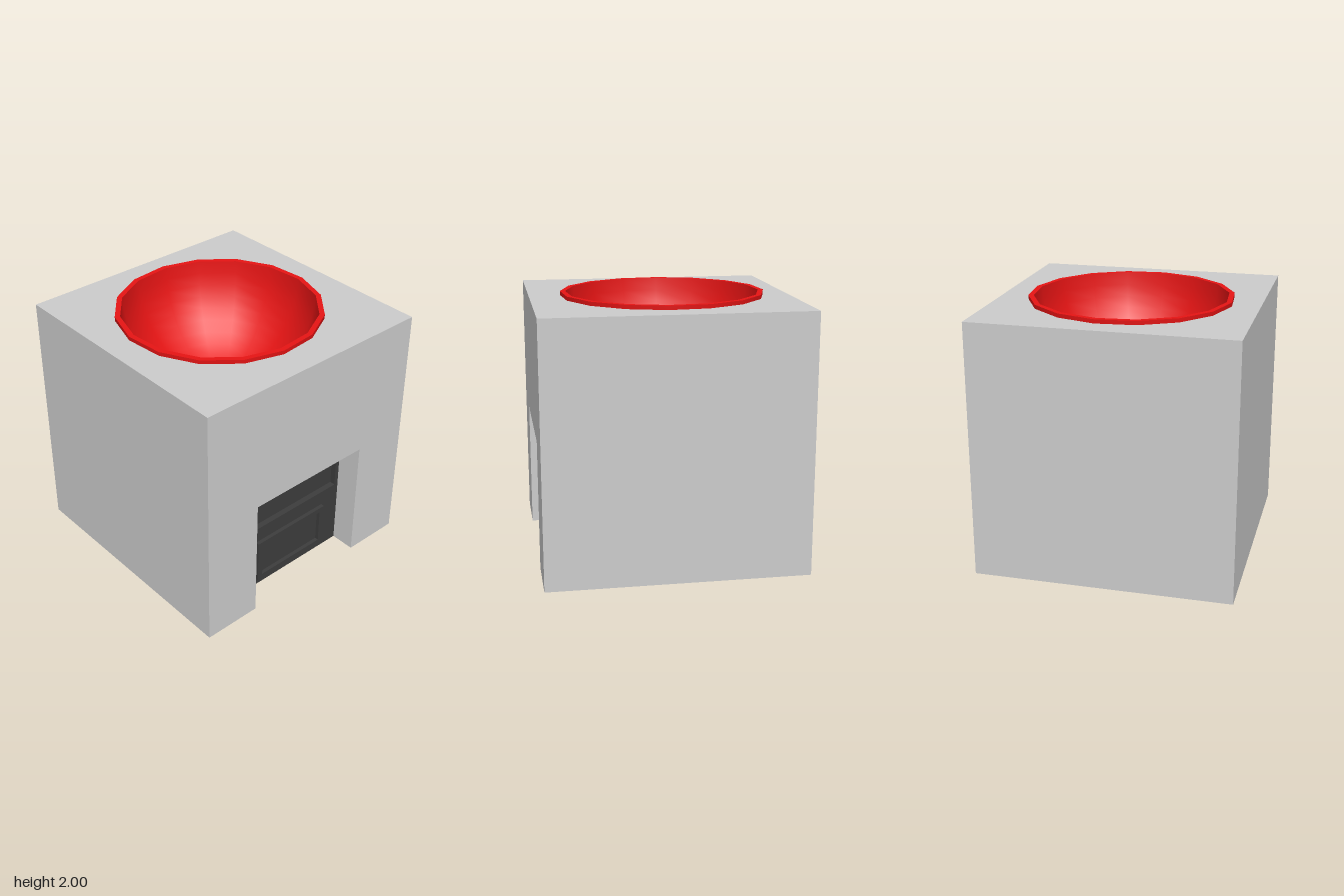
import * as THREE from 'three';

const H = 0.985, TOP = 1.97;            // half width and height of the block
const DOOR_W = 0.525, DOOR_H = 0.99;    // half width and height of the alcove
const DOOR_Z = 0.79;                    // plane of the recessed door

const material = (color) => new THREE.MeshStandardMaterial({ color, side: THREE.DoubleSide, flatShading: true });

function add(parent, name, geometry, mat, x = 0, y = 0, z = 0) {
  const mesh = new THREE.Mesh(geometry, mat);
  mesh.name = name;
  mesh.position.set(x, y, z);
  parent.add(mesh);
  return mesh;
}

const polygon = (pts, Type = THREE.Shape) => new Type(pts.map(([x, y]) => new THREE.Vector2(x, y)));
const rect = (w, y0, y1) => [[-w, y0], [w, y0], [w, y1], [-w, y1]];

// Flat sheet with optional cut-outs
function sheet(outline, ...holes) {
  const shape = polygon(outline);
  shape.holes = holes.map((h) => polygon(h, THREE.Path));
  return new THREE.ShapeGeometry(shape);
}

// Four-sided open sleeve along z, for the edges of door panels
function sleeve(w, y0, y1, z0, z1) {
  return new THREE.CylinderGeometry(Math.SQRT1_2, Math.SQRT1_2, 1, 4, 1, true)
    .rotateY(Math.PI / 4).rotateX(Math.PI / 2)
    .scale(2 * w, y1 - y0, z1 - z0)
    .translate(0, (y0 + y1) / 2, (z0 + z1) / 2);
}

export function createModel() {
  const model = new THREE.Group();
  const grey = material(0xcccccc), dark = material(0x3d3d3d), red = material(0xe61414);
  red.flatShading = false;

  // Bowl placement, shared with the hole in the top
  const sides = 16, outer = 0.78, inner = 0.74, bowlZ = -0.03, turn = THREE.MathUtils.degToRad(6);

  // Hollow block, open underneath
  const block = new THREE.Group();
  block.name = 'block';
  model.add(block);
  add(block, 'frontWall', sheet([
    [-H, 0], [-DOOR_W, 0], [-DOOR_W, DOOR_H], [DOOR_W, DOOR_H], [DOOR_W, 0], [H, 0], [H, TOP], [-H, TOP],
  ]), grey, 0, 0, H);
  add(block, 'backWall', new THREE.PlaneGeometry(2 * H, TOP).rotateY(Math.PI), grey, 0, TOP / 2, -H);
  for (const s of [-1, 1]) {
    add(block, s > 0 ? 'leftWall' : 'rightWall',
      new THREE.PlaneGeometry(2 * H, TOP).rotateY(s * Math.PI / 2), grey, s * H, TOP / 2, 0);
  }
  const hole = Array.from({ length: sides }, (_, i) => {
    const a = turn + (i / sides) * 2 * Math.PI;
    return [outer * Math.cos(a), -bowlZ - outer * Math.sin(a)];
  });
  add(block, 'top', sheet(rect(H, -H, H), hole).rotateX(-Math.PI / 2), grey, 0, TOP, 0);

  // Alcove sides and ceiling
  const depth = H - DOOR_Z, midZ = (H + DOOR_Z) / 2;
  for (const s of [-1, 1]) {
    add(block, s > 0 ? 'alcoveLeft' : 'alcoveRight',
      new THREE.PlaneGeometry(depth, DOOR_H).rotateY(-s * Math.PI / 2), grey, s * DOOR_W, DOOR_H / 2, midZ);
  }
  add(block, 'alcoveCeiling',
    new THREE.PlaneGeometry(2 * DOOR_W, depth).rotateX(Math.PI / 2), grey, 0, DOOR_H, midZ);

  // Door with a sunken upper panel and a raised lower frame
  const door = new THREE.Group();
  door.name = 'door';
  door.position.z = DOOR_Z;
  model.add(door);
  const upper = [0.49, 0.555, 0.93], frame = [0.35, 0.065, 0.43], lower = [0.305, 0.105, 0.39];
  const sink = -0.045, raise = 0.03;
  add(door, 'doorFace', sheet(rect(DOOR_W, 0, DOOR_H), rect(...upper), rect(...frame)), dark);
  add(door, 'upperPanel', sheet(rect(...upper)), dark, 0, 0, sink);
  add(door, 'upperPanelEdge', sleeve(...upper, sink, 0), dark);
  add(door, 'lowerFrame', sheet(rect(...frame), rect(...lower)), dark, 0, 0, raise);
  add(door, 'lowerFrameOuterEdge', sleeve(...frame, 0, raise), dark);
  add(door, 'lowerFrameInnerEdge', sleeve(...lower, 0, raise), dark);
  add(door, 'lowerPanel', sheet(rect(...lower)), dark);

  // Hemispherical bowl with a flat rim
  const bowl = new THREE.Group();
  bowl.name = 'bowl';
  bowl.position.set(0, 2, bowlZ);
  bowl.rotation.y = -turn;
  model.add(bowl);
  const arc = (r) => Array.from({ length: 13 }, (_, i) => {
    const a = (i / 12) * Math.PI / 2;
    return new THREE.Vector2(r * Math.sin(a), -r * Math.cos(a));
  });
  add(bowl, 'bowlInside', new THREE.LatheGeometry(arc(inner).reverse(), sides), red);
  add(bowl, 'bowlOutside', new THREE.LatheGeometry(arc(outer), sides), red);
  add(bowl, 'bowlRim', new THREE.RingGeometry(inner, outer, sides).rotateX(-Math.PI / 2), red);

  return model;
}
